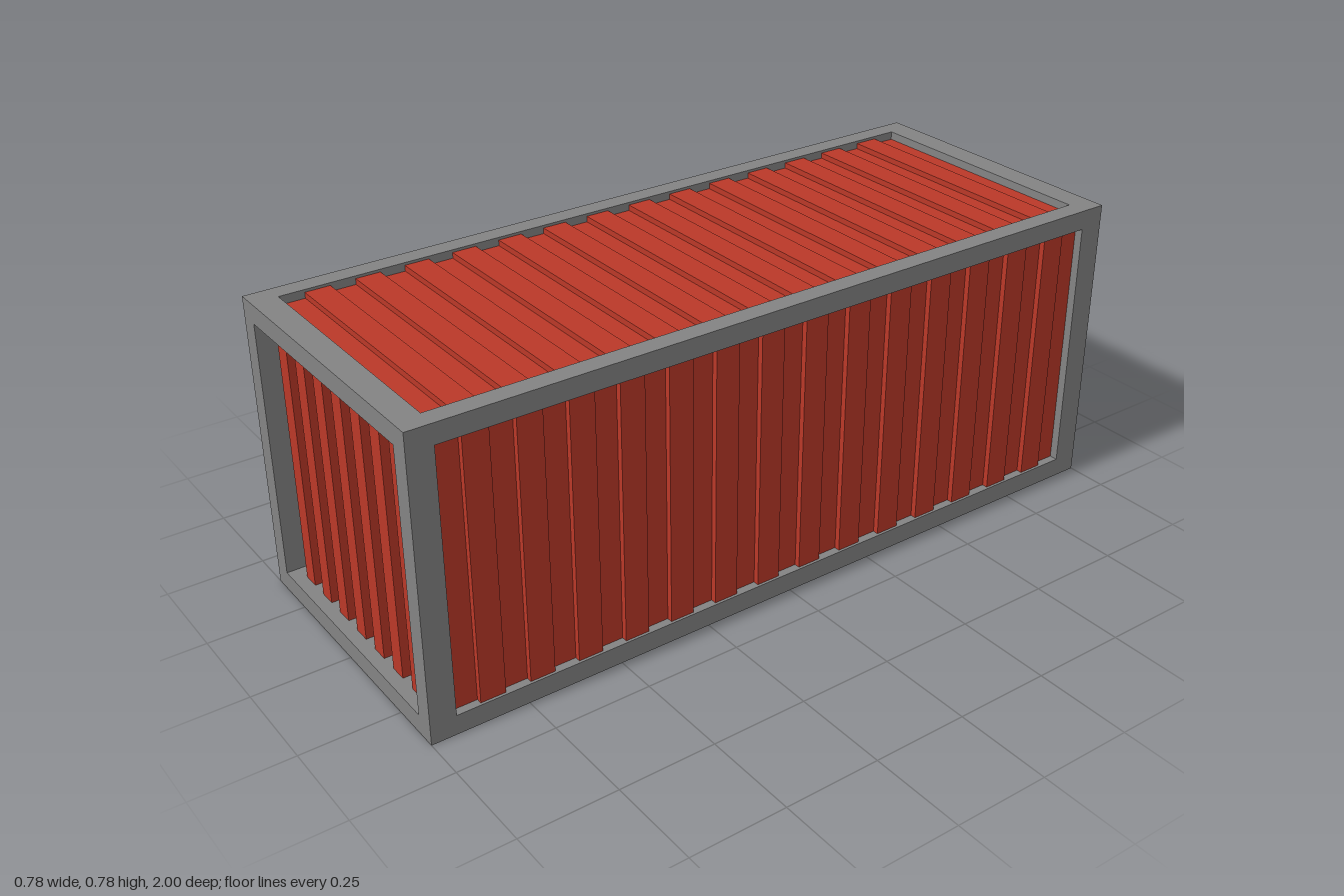
import * as THREE from 'three';

const W = 0.782, H = 0.782, L = 2;     // outer size
const T = 0.051, TZ = 0.066;           // frame thickness across and along
const MID = H / 2;

const red = new THREE.MeshStandardMaterial({ color: 0xba3828 });
red.name = 'red panel paint';
const grey = new THREE.MeshStandardMaterial({ color: 0x838383 });
grey.name = 'grey frame';
const steel = new THREE.MeshStandardMaterial({ color: 0x616a6b });
steel.name = 'dark steel';

function add(parent, name, geometry, material, x = 0, y = 0, z = 0) {
  const mesh = new THREE.Mesh(geometry, material);
  mesh.name = name;
  mesh.position.set(x, y, z);
  parent.add(mesh);
  return mesh;
}

// Square-wave sheet: runs along x, stands along y, grooves face +z at z = 0
// and ridges rise from them; both ends are grooves
function corrugated(width, count, height, rise) {
  const step = width / count;
  const shape = new THREE.Shape();
  shape.moveTo(-width / 2, 0.008);
  for (let i = 0; i < count; i++) {
    const d = i % 2 ? -rise : 0;
    shape.lineTo(-width / 2 + i * step, d);
    shape.lineTo(-width / 2 + (i + 1) * step, d);
  }
  shape.lineTo(width / 2, 0.008);
  const geo = new THREE.ExtrudeGeometry(shape, { depth: height, bevelEnabled: false });
  return geo.translate(0, 0, -height / 2).rotateX(-Math.PI / 2);
}

function rectPath(path, x0, y0, x1, y1) {
  path.moveTo(x0, y0);
  path.lineTo(x1, y0);
  path.lineTo(x1, y1);
  path.lineTo(x0, y1);
  path.closePath();
  return path;
}

function buildFrame() {
  const frame = new THREE.Group();
  frame.name = 'frame';
  for (const sx of [-1, 1]) {
    for (const sz of [-1, 1])
      add(frame, 'cornerPost', new THREE.BoxGeometry(T, H, TZ), grey,
        sx * (W - T) / 2, MID, sz * (L - TZ) / 2);
    for (const y of [T / 2, H - T / 2])
      add(frame, 'sideRail', new THREE.BoxGeometry(T, T, L - 2 * TZ), grey, sx * (W - T) / 2, y, 0);
  }
  for (const sz of [-1, 1])
    for (const y of [T / 2, H - T / 2])
      add(frame, 'endBeam', new THREE.BoxGeometry(W - 2 * T, T, TZ), grey, 0, y, sz * (L - TZ) / 2);
  return frame;
}

// Both doors with locking rods, built facing +z
function buildDoors() {
  const doors = new THREE.Group();
  doors.name = 'doors';
  const face = L / 2 - 0.058, depth = 0.022;
  const inW = W - 2 * T, inH = H - 2 * T;
  add(doors, 'doorBacking', new THREE.BoxGeometry(inW, inH, 0.01), red, 0, MID, face - depth - 0.005);

  for (const s of [-1, 1]) {
    // Door leaf with four long recesses
    const half = inW / 4 - 0.002;
    const leaf = rectPath(new THREE.Shape(), -half, T, half, H - T);
    for (const y of [0.185, 0.323, 0.461, 0.6])
      leaf.holes.push(rectPath(new THREE.Path(), -half + 0.018, y - 0.018, half - 0.018, y + 0.018));
    add(doors, 'doorLeaf', new THREE.ExtrudeGeometry(leaf, { depth, bevelEnabled: false }),
      red, s * (inW / 4 + 0.002), 0, face - depth);

    // Rods: the inner handles point to the outside, the outer ones inwards
    for (const [x, dir, heights] of [[0.068, 1, [0.5, 0.29]], [0.242, -1, [0.56, 0.23]]]) {
      const z = face + 0.013;
      add(doors, 'lockingRod', new THREE.CylinderGeometry(0.008, 0.008, inH, 10), steel, s * x, MID, z);
      add(doors, 'upperRodCap', new THREE.CylinderGeometry(0.006, 0.016, 0.035, 8), steel, s * x, H - T - 0.0175, z);
      add(doors, 'lowerRodCap', new THREE.CylinderGeometry(0.016, 0.006, 0.035, 8), steel, s * x, T + 0.0175, z);
      for (const y of heights) {
        const tip = s * dir * 0.085;
        const plate = new THREE.Shape([
          new THREE.Vector2(0, 0.02), new THREE.Vector2(0, -0.02), new THREE.Vector2(tip, 0)]);
        const geo = new THREE.ExtrudeGeometry(plate, { depth: 0.008, bevelEnabled: false });
        add(doors, 'handle', geo, steel, s * x, y, z - 0.004);
      }
    }
  }
  return doors;
}

export function createModel() {
  const model = new THREE.Group();
  model.name = 'shippingContainer';
  model.add(buildFrame());

  const inW = W - 2 * T, inH = H - 2 * T, inL = L - 2 * TZ;
  const recess = 0.022, rise = 0.015;

  // Front end wall
  add(model, 'frontWall', corrugated(inW, 15, inH, 0.025), red, 0, MID, L / 2 - 0.058);

  // Side walls, roof and floor
  for (const s of [-1, 1]) {
    const wall = add(model, s > 0 ? 'leftWall' : 'rightWall',
      corrugated(inL, 29, inH, rise), red, s * (W / 2 - recess), MID, 0);
    wall.rotation.y = s * Math.PI / 2;

    const sheet = add(model, s > 0 ? 'roof' : 'floor',
      corrugated(inL, 29, inW, rise), red, 0, MID + s * (MID - recess), 0);
    sheet.quaternion.setFromRotationMatrix(new THREE.Matrix4().makeBasis(
      new THREE.Vector3(0, 0, 1), new THREE.Vector3(s, 0, 0), new THREE.Vector3(0, s, 0)));
  }

  // Rear doors
  const doors = buildDoors();
  doors.rotation.y = Math.PI;
  model.add(doors);
  return model;
}
